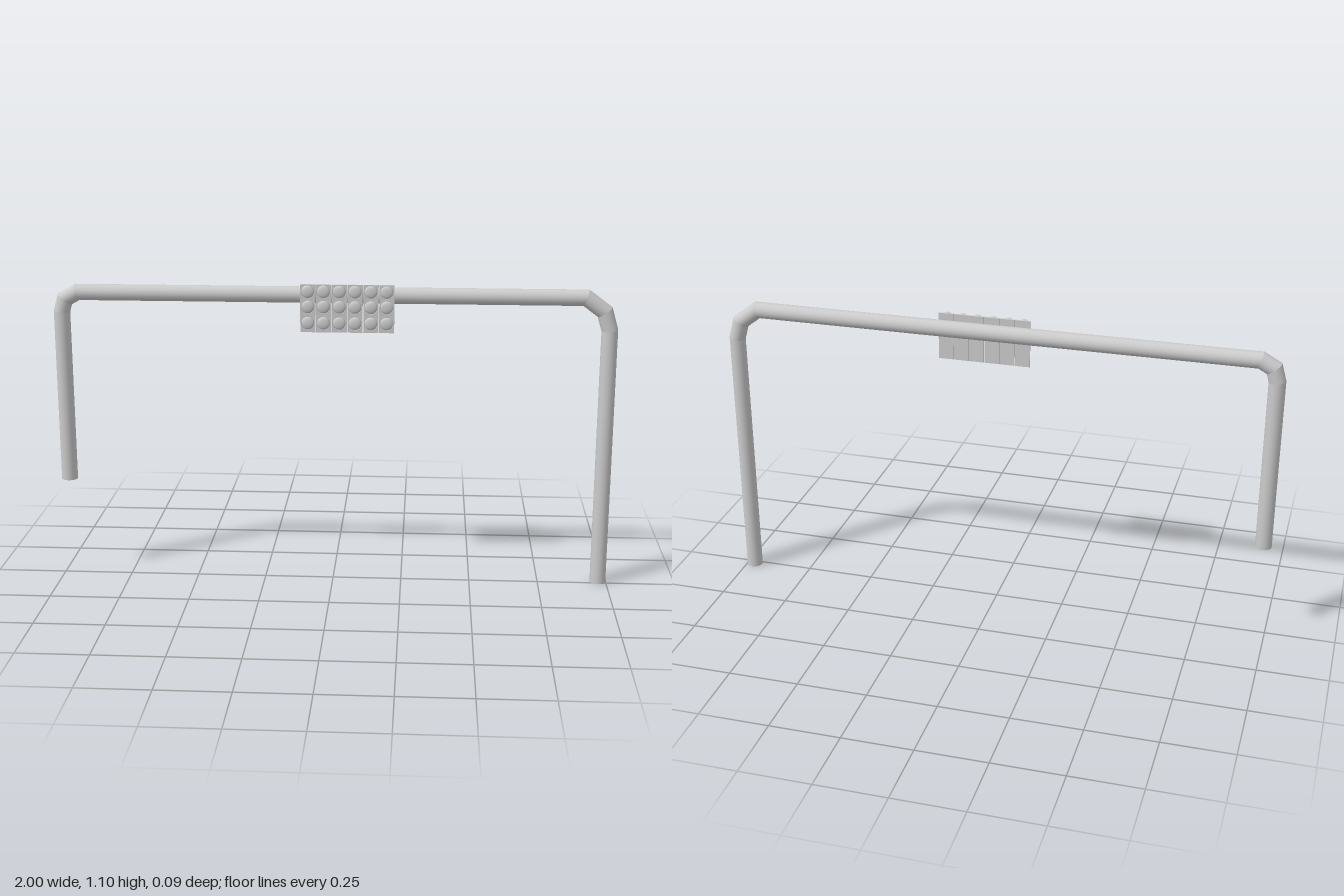
import * as THREE from 'three';

const grey = new THREE.MeshStandardMaterial({ color: 0xcccccc });
const greyThin = new THREE.MeshStandardMaterial({ color: 0xcccccc, side: THREE.DoubleSide });

function add(parent, name, geometry, material = grey) {
  const mesh = new THREE.Mesh(geometry, material);
  mesh.name = name;
  parent.add(mesh);
  return mesh;
}

// Round pipe along a polyline in the xy plane, mitred at each bend, capped at both ends
function mitredPipe(path, radius, sides) {
  const pos = [], nor = [], idx = [];
  const pts = path.map(([x, y]) => new THREE.Vector2(x, y));
  const dirs = pts.slice(1).map((p, i) => p.clone().sub(pts[i]).normalize());
  const push = (x, y, z, nx, ny, nz) => {
    pos.push(x, y, z);
    nor.push(nx, ny, nz);
    return pos.length / 3 - 1;
  };
  // Ring at a joint: the in-plane radius stretches along the mitre line
  const ringPoint = (j, a) => {
    const before = dirs[Math.max(j - 1, 0)], after = dirs[Math.min(j, dirs.length - 1)];
    const mid = before.clone().add(after).normalize();
    const k = radius * Math.cos(a) / mid.dot(after);
    return [pts[j].x - mid.y * k, pts[j].y + mid.x * k, radius * Math.sin(a)];
  };
  dirs.forEach((d, s) => {
    const first = pos.length / 3;
    for (let i = 0; i <= sides; i++) {
      const a = i / sides * Math.PI * 2;
      const n = [-d.y * Math.cos(a), d.x * Math.cos(a), Math.sin(a)];
      push(...ringPoint(s, a), ...n);
      push(...ringPoint(s + 1, a), ...n);
    }
    for (let i = 0; i < sides; i++) {
      const q = first + i * 2;
      idx.push(q, q + 2, q + 1, q + 1, q + 2, q + 3);
    }
  });
  for (const end of [0, pts.length - 1]) {
    const d = dirs[Math.min(end, dirs.length - 1)], s = end ? 1 : -1;
    const n = [d.x * s, d.y * s, 0];
    const c = push(pts[end].x, pts[end].y, 0, ...n);
    for (let i = 0; i <= sides; i++) push(...ringPoint(end, i / sides * Math.PI * 2), ...n);
    for (let i = 1; i <= sides; i++) idx.push(c, ...(end ? [c + i, c + i + 1] : [c + i + 1, c + i]));
  }
  const g = new THREE.BufferGeometry();
  g.setAttribute('position', new THREE.Float32BufferAttribute(pos, 3));
  g.setAttribute('normal', new THREE.Float32BufferAttribute(nor, 3));
  g.setIndex(idx);
  return g;
}

// Hood around a lens: long over the top, curving back to a shallow rim at the bottom
function visorGeometry(radius, depth, rim) {
  const g = new THREE.CylinderGeometry(radius, radius, 1, 24, 1, true);
  g.rotateX(Math.PI / 2);
  const p = g.attributes.position;
  for (let i = 0; i < p.count; i++) {
    const f = Math.pow(Math.max(0, (1 + p.getY(i) / radius) / 2), 1.7);
    p.setZ(i, p.getZ(i) > 0 ? rim + (depth - rim) * f : 0);
  }
  g.computeVertexNormals();
  return g;
}

export function createModel() {
  const model = new THREE.Group();
  model.name = 'signalGantry';

  // Bent support pipe with one long leg and one short leg
  const pipe = add(model, 'supportPipe', mitredPipe([
    [0.971, 0], [0.971, 0.94], [0.952, 1.005], [0.885, 1.055],
    [-0.913, 1.055], [-0.958, 1.03], [-0.971, 0.985], [-0.971, 0.36],
  ], 0.029, 20));
  pipe.position.z = -0.0155;

  // Row of six signal heads, three lamps each
  const plate = new THREE.BoxGeometry(0.053, 0.17, 0.006);
  const visor = visorGeometry(0.023, 0.0225, 0.004);
  const lens = new THREE.SphereGeometry(0.022, 16, 6, 0, Math.PI * 2, 0, Math.PI / 2);
  lens.rotateX(Math.PI / 2).scale(1, 1, 0.3);
  for (let i = 0; i < 6; i++) {
    const head = new THREE.Group();
    head.name = 'signalHead' + (i + 1);
    head.position.x = 0.051 + (i - 2.5) * 0.0555;
    model.add(head);
    add(head, 'backPlate', plate).position.set(0, 1.013, 0.021);
    for (const y of [1.072, 1.018, 0.96]) {
      add(head, 'lens', lens).position.set(0, y, 0.024);
      add(head, 'visor', visor, greyThin).position.set(0, y, 0.024);
    }
  }
  return model;
}
